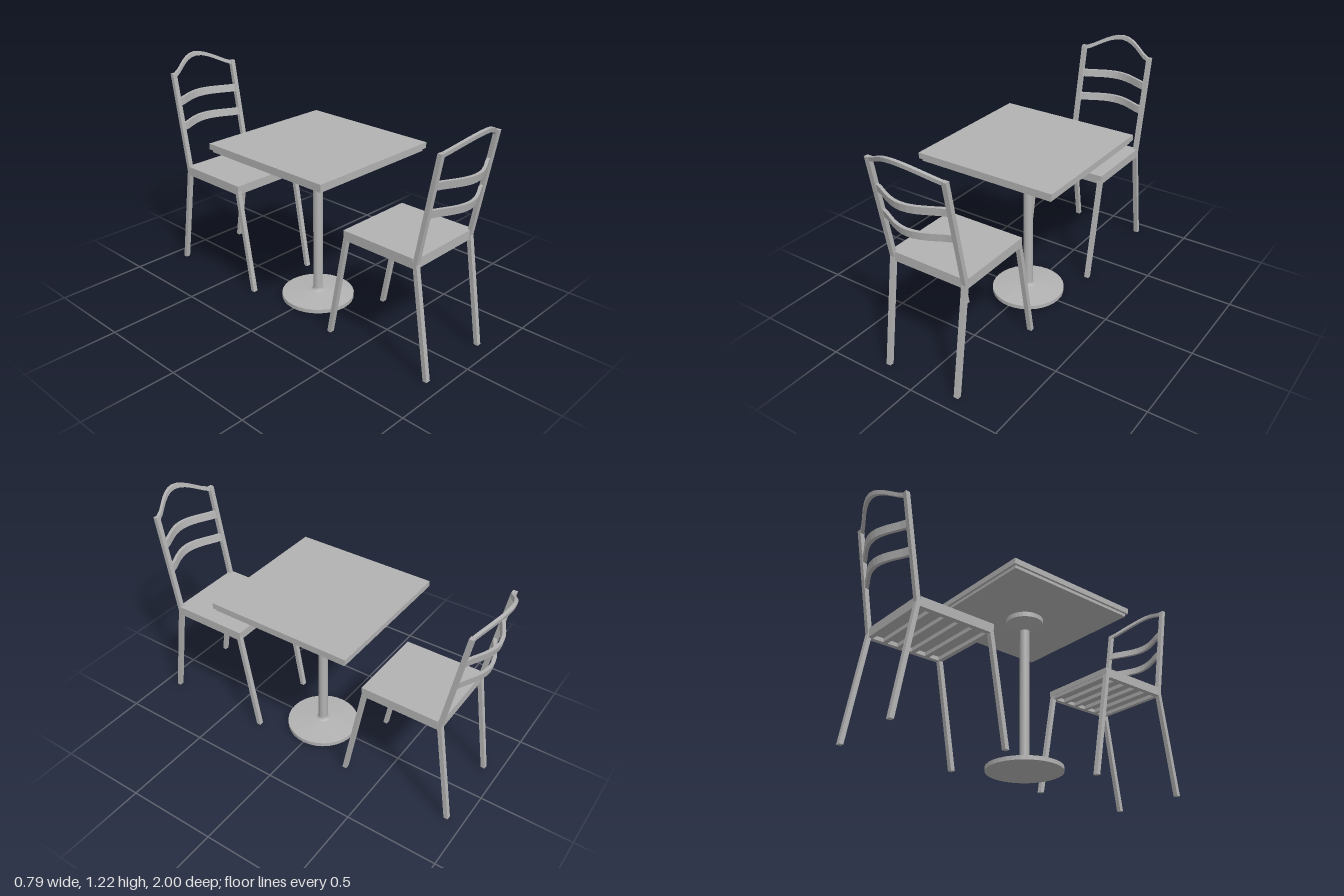
import * as THREE from 'three';

const grey = new THREE.MeshStandardMaterial({ color: 0xb2b2b2, flatShading: true });
grey.name = 'grey metal';

function add(group, name, geometry) {
  const mesh = new THREE.Mesh(geometry, grey);
  mesh.name = name;
  group.add(mesh);
  return mesh;
}

// Box given by its limits on each axis
function block(group, name, [x0, x1], [y0, y1], [z0, z1]) {
  const g = new THREE.BoxGeometry(x1 - x0, y1 - y0, z1 - z0);
  g.translate((x0 + x1) / 2, (y0 + y1) / 2, (z0 + z1) / 2);
  return add(group, name, g);
}

// Square bar leaning in z, with level ends
function leaningBar(group, name, x, y0, z0, y1, z1) {
  const g = new THREE.BoxGeometry(0.026, y1 - y0, 0.023);
  const p = g.attributes.position;
  for (let i = 0; i < p.count; i++) {
    const top = p.getY(i) > 0;
    p.setXYZ(i, p.getX(i) + x, top ? y1 : y0, p.getZ(i) + (top ? z1 : z0));
  }
  g.computeVertexNormals();
  return add(group, name, g);
}

// Cross bar bowed backward and upward; lean slants its faces
function bowedBar(group, name, height, depth, y, z, rise, bulge, lean) {
  const g = new THREE.BoxGeometry(0.404, height, depth, 12, 1, 1);
  const p = g.attributes.position;
  for (let i = 0; i < p.count; i++) {
    const u = Math.min(1, Math.abs(p.getX(i)) / 0.2);
    const bell = Math.pow(Math.max(0, Math.cos((u * Math.PI) / 2)), 1.25);
    p.setZ(i, p.getZ(i) + z + bulge * bell + lean * p.getY(i));
    p.setY(i, p.getY(i) + y + rise * bell);
  }
  g.computeVertexNormals();
  return add(group, name, g);
}

function createChair() {
  const chair = new THREE.Group();

  // Legs, side rails and back posts
  for (const s of [-1, 1]) {
    const x = s * 0.2125;
    leaningBar(chair, 'frontLeg', x, 0, 0.295, 0.587, 0.4);
    leaningBar(chair, 'rearLeg', x, 0, 0.912, 0.587, 0.817);
    leaningBar(chair, 'backPost', x, 0.587, 0.817, 1.145, 0.915);
    block(chair, 'sideRail', [x - 0.013, x + 0.013], [0.565, 0.587], [0.4, 0.815]);
  }

  // Seat
  block(chair, 'seat', [-0.2255, 0.2255], [0.586, 0.616], [0.386, 0.806]);
  block(chair, 'seatRearEdge', [-0.2, 0.2], [0.586, 0.616], [0.806, 0.824]);

  // Cross bars under the seat
  for (let i = 0; i < 6; i++) {
    const z = 0.401 + i * 0.0822;
    block(chair, 'seatCrossBar', [-0.2, 0.2], [0.565, 0.586], [z - 0.012, z + 0.012]);
  }

  // Back slats and arched top rail
  bowedBar(chair, 'lowerBackSlat', 0.04, 0.018, 0.845, 0.861, 0, 0.073, 0.18);
  bowedBar(chair, 'upperBackSlat', 0.04, 0.018, 0.985, 0.886, 0, 0.073, 0.18);
  bowedBar(chair, 'topRail', 0.022, 0.018, 1.135, 0.914, 0.074, 0.076, 0.2);
  return chair;
}

function createTable() {
  const table = new THREE.Group();
  block(table, 'tableTop', [-0.396, 0.396], [0.876, 0.907], [-0.396, 0.396]);
  block(table, 'tableTopUnderside', [-0.384, 0.384], [0.86, 0.876], [-0.384, 0.384]);

  // Turned pedestal
  const lathe = (name, points) =>
    add(table, name, new THREE.LatheGeometry(points.map(([r, y]) => new THREE.Vector2(r, y)), 32));
  lathe('base', [[0, 0.006], [0.2, 0.006], [0.2, 0.028], [0.04, 0.045], [0.03, 0.05], [0.026, 0.06]]);
  lathe('column', [[0.026, 0.06], [0.026, 0.792]]);
  lathe('topSupport', [[0.026, 0.792], [0.1, 0.833], [0.1, 0.86]]);
  return table;
}

export function createModel() {
  const model = new THREE.Group();
  const table = createTable();
  table.name = 'table';
  model.add(table);

  // Two chairs facing each other across the table
  for (const [name, angle] of [['frontChair', 0], ['rearChair', Math.PI]]) {
    const chair = createChair();
    chair.name = name;
    chair.rotation.y = angle;
    model.add(chair);
  }
  return model;
}
